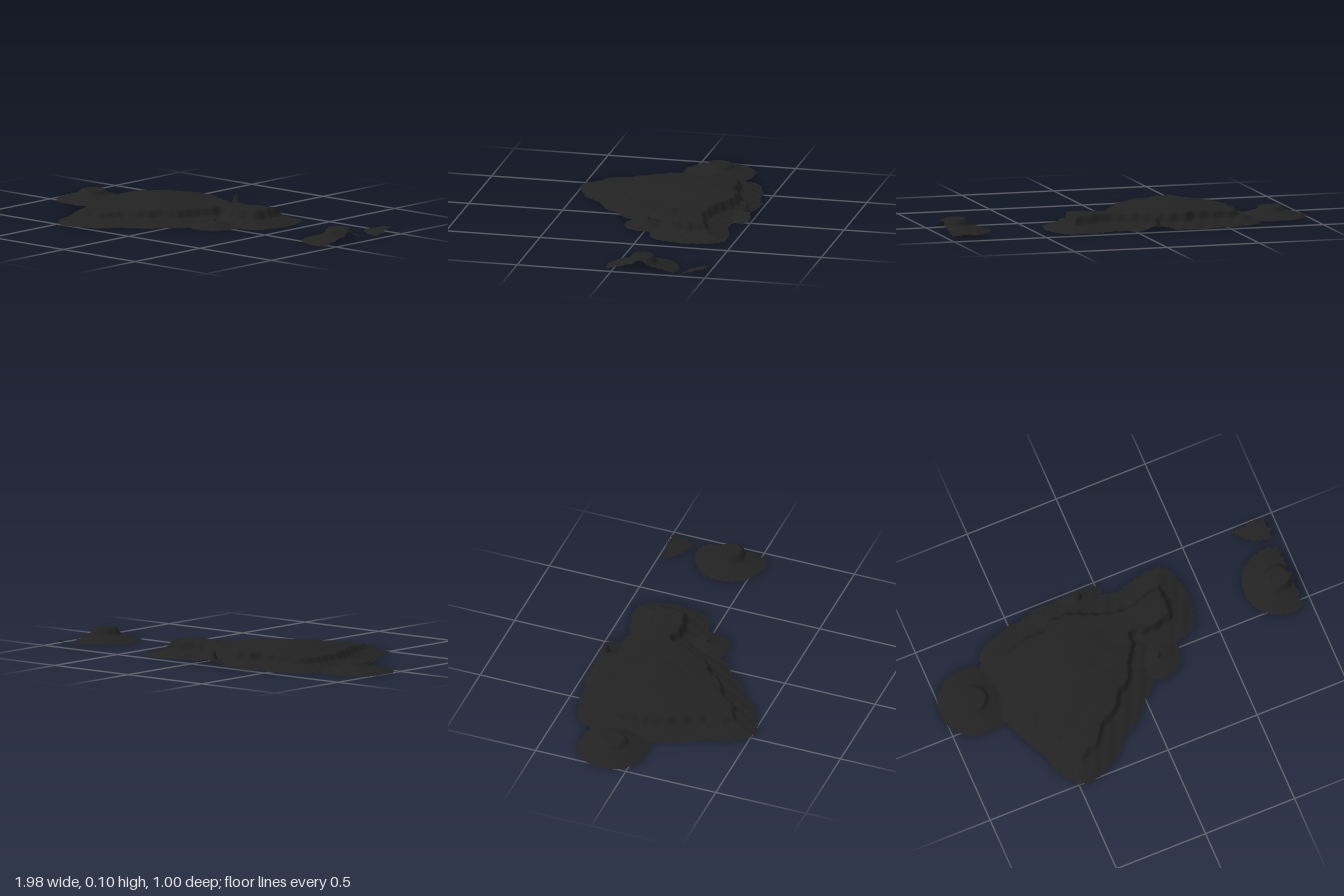
import * as THREE from 'three';

const STEP = 0.01;    // terrain grid spacing
const SHORE = 0.11;   // beach width around every cliff
const CLIFF = 0.022;  // horizontal run of the cliffs
const FOOT = 0.033;   // height of the cliff foot

// Rim of the main plateau, as x, z pairs
const rim = [
  [-.63, -.2], [-.605, -.3], [-.49, -.34], [-.34, -.35], [-.3, -.385], [-.19, -.385], [-.05, -.32],
  [.11, -.29], [.19, -.32], [.3, -.345], [.32, -.25], [.3, -.15], [.22, -.13], [.14, -.12],
  [.06, -.145], [.07, -.09], [0, 0], [-.03, .085], [-.11, .14], [-.14, .2], [-.26, .27],
  [-.32, .35], [-.44, .4], [-.48, .34], [-.5, .25], [-.58, .09], [-.63, -.05],
];

// Signed distance to the rim, negative inside
function rimDistance(x, z) {
  let best = Infinity, inside = false;
  rim.forEach(([ax, az], i) => {
    const [bx, bz] = rim[(i + 1) % rim.length];
    const dx = bx - ax, dz = bz - az;
    const t = THREE.MathUtils.clamp(((x - ax) * dx + (z - az) * dz) / (dx * dx + dz * dz), 0, 1);
    best = Math.min(best, Math.hypot(x - ax - t * dx, z - az - t * dz));
    if ((az > z) !== (bz > z) && x < ax + (dx * (z - az)) / dz) inside = !inside;
  });
  return inside ? -best : best;
}

// Gently domed top of the main plateau
const plateauTop = (x, z) =>
  0.05 + 0.048 * Math.exp(-((x + 0.27) ** 2) / 0.09 - ((z + 0.1) ** 2) / 0.1)
  + 0.028 * Math.exp(-((x - 0.28) ** 2) / 0.05 - ((z + 0.23) ** 2) / 0.05)
  + 0.0015 * Math.sin(x * 31) * Math.sin(z * 27);

const disc = (cx, cz, r, top) => ({
  distance: (x, z) => Math.hypot(x - cx, z - cz) - r,
  top: () => top,
});

// Small seeded random numbers for the ragged cut edges
let seed = 7;
const random = () => (seed = (seed * 16807) % 2147483647) / 2147483647;

// Height field over a rectangle, trimmed to the shoreline of its landforms
function terrain(name, material, [x0, x1, z0, z1], forms, raggedRight, raggedBack) {
  const nx = Math.round((x1 - x0) / STEP), nz = Math.round((z1 - z0) / STEP);
  const positions = [], shore = [], index = [];
  for (let j = 0; j <= nz; j++) {
    for (let i = 0; i <= nx; i++) {
      let x = x0 + i * STEP, z = z0 + j * STEP, y = 0, near = Infinity;
      const wobble = 0.004 * Math.sin(x * 83 + z * 41) + 0.003 * Math.sin(z * 117 - x * 59);
      for (const form of forms) {
        const raw = form.distance(x, z);
        const d = raw + (form.top() > 0 ? wobble * 0.3 : wobble);
        near = Math.min(near, raw);
        const beach = FOOT * (1 - Math.max(d, 0) / SHORE);
        const rise = THREE.MathUtils.smoothstep(-d, 0, CLIFF);
        y = Math.max(y, beach + (form.top(x, z) - FOOT) * rise);
      }
      // ragged teeth along the torn sides
      if (raggedRight && i === nx) x += 0.024 * random() - 0.008;
      if (raggedBack && j === 0) z -= 0.022 * random() - 0.01;
      positions.push(x, Math.max(y, 0), z);
      shore.push(near);
    }
  }
  for (let j = 0; j < nz; j++) {
    for (let i = 0; i < nx; i++) {
      const a = j * (nx + 1) + i, b = a + 1, c = a + nx + 1, d = c + 1;
      if ((shore[a] + shore[b] + shore[c] + shore[d]) / 4 < SHORE) index.push(a, c, b, b, c, d);
    }
  }
  const geometry = new THREE.BufferGeometry();
  geometry.setAttribute('position', new THREE.Float32BufferAttribute(positions, 3));
  geometry.setIndex(index);
  geometry.computeVertexNormals();
  const mesh = new THREE.Mesh(geometry, material);
  mesh.name = name;
  return mesh;
}

// Steep little rock standing on the beach
function rock(name, material, x, z, radius, height) {
  const points = [[1.3, 0.35], [1, 0.5], [0.6, 0.85], [0.25, 0.98], [0, 1]]
    .map(([r, y]) => new THREE.Vector2(r * radius, y * height));
  const mesh = new THREE.Mesh(new THREE.LatheGeometry(points, 10), material);
  mesh.position.set(x, 0, z);
  mesh.name = name;
  return mesh;
}

export function createModel() {
  const group = new THREE.Group();
  group.name = 'islands';
  const earth = new THREE.MeshStandardMaterial({ color: 0x222222, side: THREE.DoubleSide });
  earth.name = 'dark earth';

  // Main island, joined by its beach to the left islet and two rock shoals
  group.add(terrain('mainIsland', earth, [-1.01, 0.43, -0.48, 0.53], [
    { distance: rimDistance, top: plateauTop },
    disc(-0.825, -0.135, 0.08, 0.055),
    disc(0.15, 0.01, 0.013, 0.04),
    disc(-0.11, -0.45, 0.016, 0.04),
  ], false, true));
  group.add(rock('backRock', earth, -0.11, -0.45, 0.02, 0.074));
  group.add(rock('frontRock', earth, 0.15, 0.01, 0.016, 0.05));

  // Islet and shore corner, both torn off on their outer side
  group.add(terrain('sideIslet', earth, [0.68, 0.95, -0.35, 0.07], [disc(0.885, -0.14, 0.078, 0.067)], true, false));
  group.add(terrain('shoreCorner', earth, [0.74, 0.95, -0.48, -0.35], [disc(0.95, -0.57, 0.09, 0.05)], true, true));
  return group;
}
